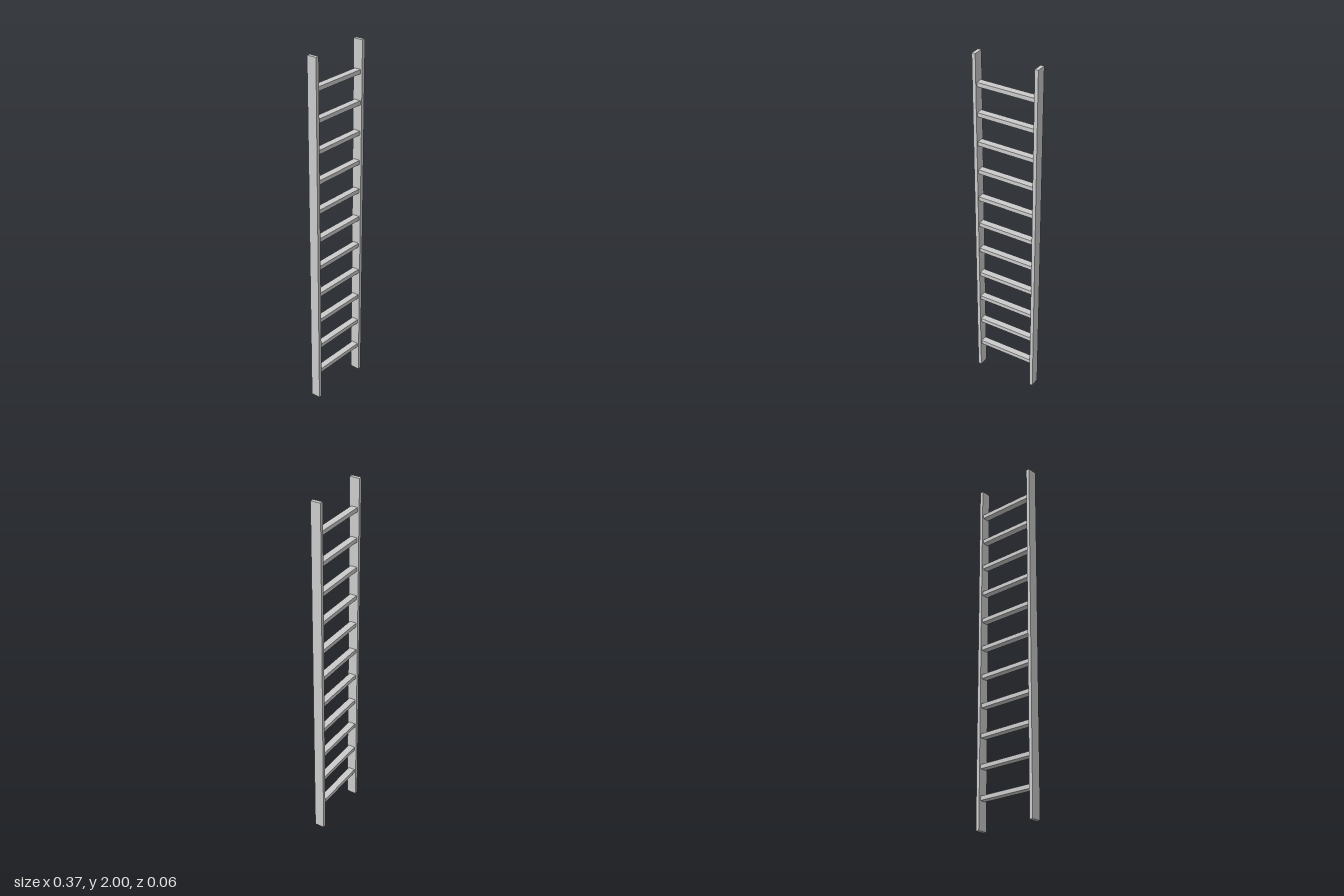
import * as THREE from 'three';

export function createModel() {
  const ladder = new THREE.Group();
  ladder.name = 'ladder';
  const material = new THREE.MeshStandardMaterial({ color: 0xcccccc, flatShading: true });

  const height = 2, halfWidth = 0.185, railThickness = 0.02, railDepth = 0.056;
  const rungCount = 11, rungHeight = 0.023, rungDepth = 0.038;

  // Two upright side rails
  const railGeometry = new THREE.BoxGeometry(railThickness, height, railDepth);
  for (const [name, side] of [['leftRail', 1], ['rightRail', -1]]) {
    const rail = new THREE.Mesh(railGeometry, material);
    rail.name = name;
    rail.position.set(side * (halfWidth - railThickness / 2), height / 2, 0);
    ladder.add(rail);
  }

  // Evenly spaced rungs fitted between the rails
  const rungGeometry = new THREE.BoxGeometry(2 * (halfWidth - railThickness), rungHeight, rungDepth);
  for (let i = 1; i <= rungCount; i++) {
    const rung = new THREE.Mesh(rungGeometry, material);
    rung.name = `rung${i}`;
    rung.position.y = (height * i) / (rungCount + 1);
    ladder.add(rung);
  }

  return ladder;
}
